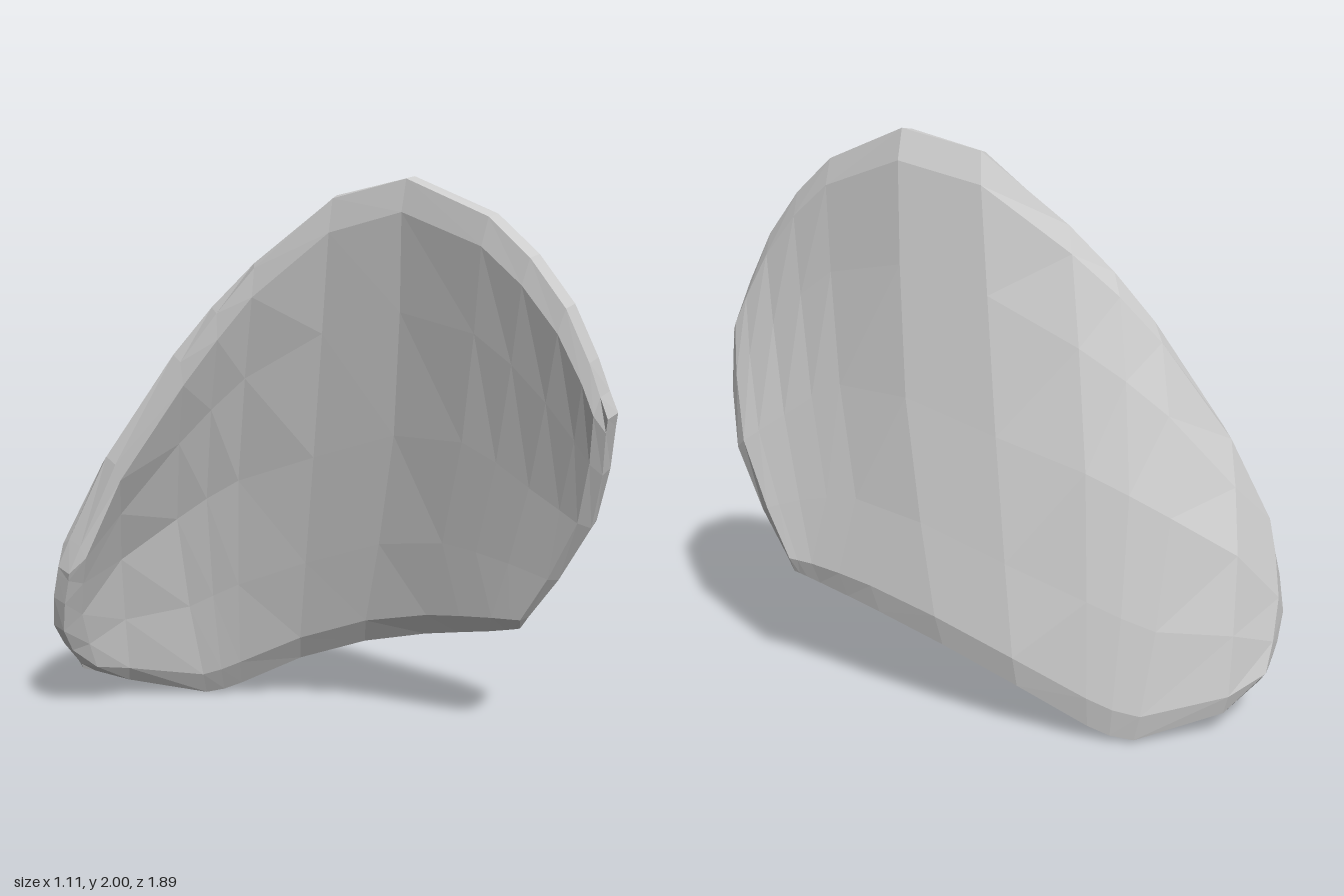
import * as THREE from 'three';

// Spines across the plate, front to back: lower edge, middle, upper edge
const SPINES = [
  [[0.505, 0.41, 0.515], [0.515, 0.82, 0.8], [0.4, 1.22, 0.935]],
  [[0.47, 0.385, 0.41], [0.415, 0.96, 0.62], [0.3, 1.58, 0.825]],
  [[0.42, 0.335, 0.15], [0.33, 1.1, 0.4], [0.23, 1.87, 0.56]],
  [[0.36, 0.27, -0.1], [0.285, 1.1, 0.12], [0.185, 1.995, 0.24]],
  [[0.27, 0.17, -0.36], [0.18, 1.0, -0.19], [0.085, 1.93, -0.02]],
  [[0.15, 0.05, -0.57], [0.045, 0.9, -0.46], [-0.07, 1.69, -0.265]],
  [[0.06, 0.005, -0.69], [-0.11, 0.75, -0.67], [-0.26, 1.36, -0.47]],
  [[-0.19, 0.075, -0.87], [-0.29, 0.6, -0.805], [-0.43, 0.99, -0.645]],
  [[-0.39, 0.165, -0.905], [-0.52, 0.34, -0.865], [-0.55, 0.58, -0.785]],
];
const COLUMNS = [0, 0.2, 0.5, 1, 1.5, 2, 3, 4, 5, 5.5, 6, 7, 7.75, 8];
const ROWS = [0, 0.06, 0.25, 0.5, 0.75, 0.94, 1];
const HALF_FACE = 0.06, HALF_RIM = 0.03;

const curve = pts => new THREE.CatmullRomCurve3(pts);

// Curved plate: a middle surface thickened along its normals, with a bevelled rim
function plateGeometry() {
  const nu = COLUMNS.length, nv = ROWS.length, count = nu * nv;
  const rails = [0, 1, 2].map(k => curve(SPINES.map(s => new THREE.Vector3(...s[k]))));
  const at = (u, v) => u * nv + v;
  const mid = [], faces = [];
  for (let u = 0; u < nu; u++) {
    const spine = curve(rails.map(r => r.getPoint(COLUMNS[u] / (SPINES.length - 1))));
    for (const t of ROWS) mid.push(...spine.getPoint(t).toArray());
  }
  for (let u = 0; u < nu - 1; u++) {
    for (let v = 0; v < nv - 1; v++) {
      const a = at(u, v), b = at(u + 1, v), c = at(u + 1, v + 1), d = at(u, v + 1);
      faces.push(a, b, c, a, c, d);
    }
  }
  const sheet = new THREE.BufferGeometry();
  sheet.setAttribute('position', new THREE.Float32BufferAttribute(mid, 3));
  sheet.setIndex(faces);
  sheet.computeVertexNormals();
  const normal = sheet.attributes.normal;

  // Outer and inner copies of the sheet
  const positions = [];
  for (const side of [1, -1]) {
    for (let i = 0; i < count; i++) {
      const u = Math.floor(i / nv), v = i % nv;
      const border = u === 0 || v === 0 || u === nu - 1 || v === nv - 1;
      const h = side * (border ? HALF_RIM : HALF_FACE);
      positions.push(mid[3 * i] + h * normal.getX(i), mid[3 * i + 1] + h * normal.getY(i), mid[3 * i + 2] + h * normal.getZ(i));
    }
  }
  const index = [...faces];
  for (let i = 0; i < faces.length; i += 3) {
    index.push(faces[i] + count, faces[i + 2] + count, faces[i + 1] + count);
  }

  // Rim strip joining both copies
  const loop = [];
  for (let u = 0; u < nu - 1; u++) loop.push(at(u, 0));
  for (let v = 0; v < nv - 1; v++) loop.push(at(nu - 1, v));
  for (let u = nu - 1; u > 0; u--) loop.push(at(u, nv - 1));
  for (let v = nv - 1; v > 0; v--) loop.push(at(0, v));
  loop.forEach((p, i) => {
    const q = loop[(i + 1) % loop.length];
    index.push(q, p, p + count, q, p + count, q + count);
  });

  const geometry = new THREE.BufferGeometry();
  geometry.setAttribute('position', new THREE.Float32BufferAttribute(positions, 3));
  geometry.setIndex(index);
  geometry.computeVertexNormals();

  // Stand on the ground, centred
  geometry.computeBoundingBox();
  const { min, max } = geometry.boundingBox;
  return geometry.translate(-(min.x + max.x) / 2, -min.y, -(min.z + max.z) / 2);
}

export function createModel() {
  const group = new THREE.Group();
  group.name = 'curvedShell';
  const lightGrey = new THREE.MeshStandardMaterial({ color: 0xcccccc, flatShading: true });
  lightGrey.name = 'lightGrey';
  const plate = new THREE.Mesh(plateGeometry(), lightGrey);
  plate.name = 'curvedPlate';
  group.add(plate);
  return group;
}
